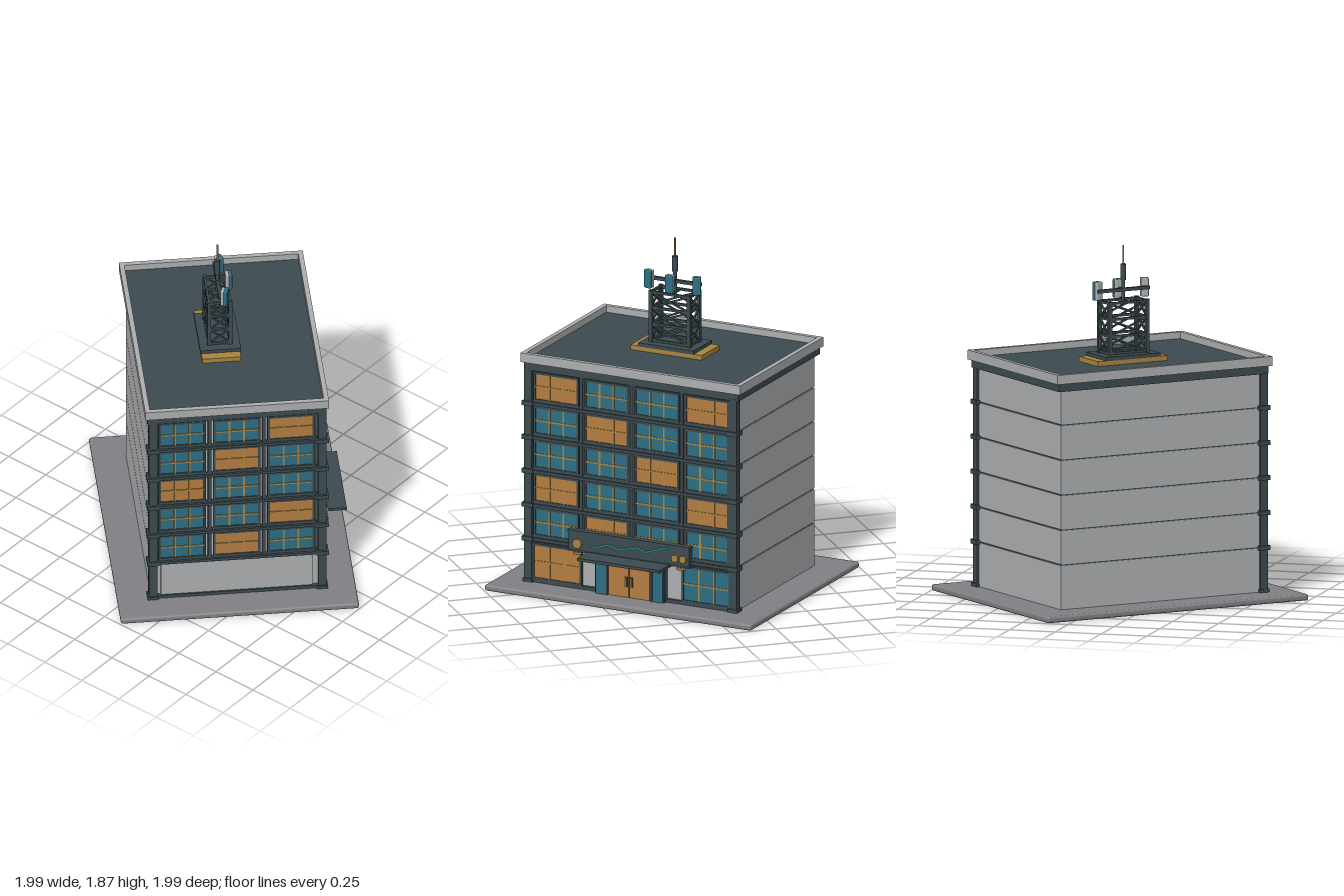
import * as THREE from 'three';
import { RoundedBoxGeometry } from 'three/addons/geometries/RoundedBoxGeometry.js';

const mat = (name, color, side = THREE.FrontSide) => {
  const m = new THREE.MeshStandardMaterial({ color, side });
  m.name = name;
  return m;
};

export function createModel() {
  const M = {
    wall: mat('paleConcrete', 0xacaeb0),
    paving: mat('pavingGrey', 0x808084),
    dark: mat('darkSlate', 0x3c4a4f),
    glass: mat('tealGlass', 0x2c6e84),
    lit: mat('amberGlass', 0xb47c42),
    brass: mat('brass', 0xa8843f),
    green: mat('greenStripe', 0x2fa58c),
  };

  const add = (parent, name, geo, m, x = 0, y = 0, z = 0) => {
    const mesh = new THREE.Mesh(geo, m);
    mesh.name = name;
    mesh.position.set(x, y, z);
    parent.add(mesh);
    return mesh;
  };
  const box = (parent, name, w, h, d, m, x, y, z) =>
    add(parent, name, new THREE.BoxGeometry(w, h, d), m, x, y, z);
  const rod = (parent, name, r, h, m, x, y, z, n = 12) =>
    add(parent, name, new THREE.CylinderGeometry(r, r, h, n), m, x, y, z);
  const beam = (parent, name, a, b, t, m) => {
    const p = new THREE.Vector3(...a), q = new THREE.Vector3(...b);
    const mesh = box(parent, name, t, p.distanceTo(q), t, m, 0, 0, 0);
    mesh.position.copy(p).add(q).multiplyScalar(0.5);
    mesh.quaternion.setFromUnitVectors(new THREE.Vector3(0, 1, 0), q.sub(p).normalize());
    return mesh;
  };
  const section = (parent, name, x = 0, y = 0, z = 0) => {
    const g = new THREE.Group();
    g.name = name;
    g.position.set(x, y, z);
    parent.add(g);
    return g;
  };

  const model = new THREE.Group();
  model.name = 'officeBuilding';
  const b = section(model, 'building');
  b.rotation.y = Math.PI / 4;

  const HW = 0.608, HD = 0.452, PITCH = 0.186;

  // paved base
  add(b, 'pavedBase', new RoundedBoxGeometry(1.57, 0.034, 1.258, 2, 0.012), M.paving, 0, 0.02, 0);

  // plain wall panels, one per storey, over a dark core that shows in the joints
  box(b, 'wallCore', 2 * HW - 0.012, 1.18, 2 * HD - 0.012, M.dark, 0, 0.62, 0);
  const joints = [0.035, 0.275, 0.461, 0.647, 0.833, 1.019, 1.205];
  for (let i = 0; i < 6; i++) {
    const h = joints[i + 1] - joints[i];
    box(b, 'wallPanel', 2 * HW, h - 0.006, 2 * HD, M.wall, 0, joints[i] + h / 2, 0);
  }

  // window with dark frame and brass glazing bars, facing +z
  const makeWindow = (parent, x, y, w, h, pane) => {
    const g = section(parent, 'window', x, y, 0);
    box(g, 'pane', w, h, 0.008, pane, 0, 0, 0.008);
    for (const s of [-1, 1]) {
      box(g, 'frameSide', 0.012, h + 0.02, 0.018, M.dark, s * (w / 2 + 0.004), 0, 0.009);
      box(g, 'frameRail', w + 0.02, 0.012, 0.018, M.dark, 0, s * (h / 2 + 0.004), 0.009);
      box(g, 'glazingBar', 0.009, h, 0.006, M.brass, s * w / 6, 0, 0.013);
    }
    box(g, 'crossBar', w, 0.009, 0.006, M.brass, 0, 0, 0.013);
  };

  // windowed facade, pattern rows run from the top storey down
  const makeFacade = (name, width, pitch, winW, rows) => {
    const g = section(b, name);
    const n = rows[0].length;
    box(g, 'spandrelPlate', width, 0.935, 0.008, M.dark, 0, 0.7425, 0.002);
    for (let c = 1; c < n; c++) {
      const x = (c - n / 2) * pitch;
      box(g, 'reveal', 0.036, 0.93, 0.006, M.wall, x, 0.7425, 0.006);
      box(g, 'pilaster', 0.018, 0.93, 0.018, M.dark, x, 0.7425, 0.01);
    }
    rows.forEach((row, r) => {
      const y = 0.37 + PITCH * (4 - r);
      [...row].forEach((k, c) =>
        makeWindow(g, (c - (n - 1) / 2) * pitch, y, winW, 0.14, k === 'L' ? M.lit : M.glass));
      box(g, 'spandrel', width, 0.036, 0.012, M.dark, 0, y - 0.094, 0.009);
      box(g, 'ledge', width + 0.02, 0.016, 0.024, M.dark, 0, y - 0.096, 0.014);
    });
    box(g, 'plinth', width, 0.02, 0.02, M.dark, 0, 0.045, 0.008);
    return g;
  };

  const front = makeFacade('frontFacade', 2 * HW, 0.296, 0.245, ['LGGL', 'GLGG', 'GGLG', 'LGGL', 'GLGG']);
  front.position.z = HD;
  const side = makeFacade('sideFacade', 2 * HD, 0.287, 0.23, ['GGL', 'GLG', 'LGG', 'GGL', 'GLG']);
  side.position.x = -HW;
  side.rotation.y = -Math.PI / 2;

  // ground floor of both facades
  makeWindow(front, -0.44, 0.152, 0.27, 0.18, M.lit);
  makeWindow(front, 0.44, 0.152, 0.27, 0.18, M.glass);
  box(side, 'blankPanel', 0.8, 0.2, 0.008, M.wall, 0, 0.153, 0.006);

  // corner pillars with blocks at each ledge
  for (const [x, z] of [[-HW, HD], [HW - 0.01, HD], [-HW, -HD + 0.01]]) {
    const g = section(b, 'cornerPillar', x, 0, z);
    box(g, 'shaft', 0.044, 1.18, 0.044, M.dark, 0, 0.62, 0);
    for (let i = 0; i < 5; i++)
      box(g, 'ledgeBlock', 0.064, 0.024, 0.064, M.dark, 0, 0.274 + PITCH * i, 0);
    box(g, 'foot', 0.058, 0.02, 0.058, M.dark, 0, 0.045, 0);
  }

  // cornice, roof and parapet
  box(b, 'cornice', 1.26, 0.045, 0.945, M.dark, 0, 1.222, 0);
  box(b, 'roofDeck', 1.26, 0.012, 0.94, M.dark, 0, 1.25, 0);
  const rect = (P, hw, hd) => {
    const p = new P();
    p.moveTo(-hw, -hd).lineTo(hw, -hd).lineTo(hw, hd).lineTo(-hw, hd).closePath();
    return p;
  };
  const ring = rect(THREE.Shape, 0.646, 0.485);
  ring.holes.push(rect(THREE.Path, 0.62, 0.459));
  const parapet = add(b, 'parapet',
    new THREE.ExtrudeGeometry(ring, { depth: 0.05, bevelEnabled: false }), M.wall, 0, 1.242, 0);
  parapet.rotation.x = -Math.PI / 2;

  // entrance: double door, sidelights, canopy
  const e = section(b, 'entrance', 0, 0, HD);
  box(e, 'porch', 0.41, 0.215, 0.036, M.dark, 0, 0.142, 0.018);
  for (const s of [-1, 1]) {
    box(e, 'doorLeaf', 0.118, 0.185, 0.012, M.lit, s * 0.062, 0.132, 0.038);
    box(e, 'handlePlate', 0.016, 0.055, 0.008, M.dark, s * 0.016, 0.125, 0.046);
    box(e, 'handle', 0.006, 0.045, 0.008, M.brass, s * 0.016, 0.125, 0.052);
    box(e, 'sidelight', 0.062, 0.2, 0.03, M.glass, s * 0.166, 0.137, 0.03);
    box(e, 'sidelightPost', 0.012, 0.205, 0.044, M.dark, s * 0.132, 0.14, 0.026);
  }
  box(e, 'transom', 0.245, 0.016, 0.012, M.glass, 0, 0.236, 0.038);
  box(e, 'canopy', 0.485, 0.016, 0.168, M.dark, 0, 0.25, 0.086);

  // sign board with discs, zigzag stripe and lamps
  const sign = section(e, 'signBoard', 0, 0.31, 0.03);
  box(sign, 'board', 0.71, 0.11, 0.04, M.dark, 0, 0, 0);
  for (const s of [-1, 1]) {
    box(sign, 'boardRail', 0.72, 0.009, 0.046, M.dark, 0, s * 0.053, 0);
    rod(sign, 'lamp', 0.024, 0.014, M.brass, s * 0.305, -0.065, 0.012, 16);
  }
  for (const [x, r] of [[-0.3, 0.026], [0.275, 0.02], [0.322, 0.02]]) {
    const disc = rod(sign, 'disc', r, 0.016, M.brass, x, -0.012, 0.024, 20);
    disc.rotation.x = Math.PI / 2;
  }
  const zig = [[-0.22, -0.026], [-0.12, 0.004], [-0.05, -0.012], [0.05, 0.015], [0.1, -0.004], [0.235, 0.042]];
  for (let i = 1; i < zig.length; i++)
    beam(sign, 'zigzagStripe', [...zig[i - 1], 0.023], [...zig[i], 0.023], 0.009, M.green);

  // roof tower: plinth, lattice, mast and antenna panels
  const t = section(b, 'roofTower', 0, 0, -0.035);
  box(t, 'towerPlinth', 0.42, 0.028, 0.205, M.brass, 0, 1.268, 0);
  box(t, 'towerPlate', 0.325, 0.02, 0.215, M.dark, 0, 1.291, 0);
  const A = 0.112, B = 0.056, levels = [1.31, 1.4, 1.49, 1.575];
  const corners = [[-A, -B], [A, -B], [A, B], [-A, B]];
  corners.forEach(([x, z], i) => {
    const [u, v] = corners[(i + 1) % 4];
    box(t, 'towerLeg', 0.02, 0.29, 0.02, M.dark, x, 1.44, z);
    levels.forEach((y, k) => {
      beam(t, 'towerRail', [x, y, z], [u, y, v], 0.013, M.dark);
      if (k === 3) return;
      beam(t, 'towerBrace', [x, y, z], [u, levels[k + 1], v], 0.009, M.dark);
      beam(t, 'towerBrace', [u, y, v], [x, levels[k + 1], z], 0.009, M.dark);
    });
  });
  box(t, 'mastBeam', 0.016, 0.014, 2 * B, M.dark, 0, 1.575, 0);
  rod(t, 'mast', 0.01, 0.2, M.dark, 0, 1.67, 0);
  rod(t, 'mastSleeve', 0.015, 0.085, M.dark, 0, 1.73, 0);
  rod(t, 'mastTip', 0.005, 0.1, M.brass, 0, 1.822, 0, 8);
  box(t, 'antennaBar', 0.31, 0.018, 0.018, M.dark, 0, 1.635, 0);
  box(t, 'antennaArm', 0.016, 0.016, 0.06, M.dark, 0, 1.635, 0.025);
  for (const [x, z] of [[-0.14, 0.02], [0, 0.055], [0.14, 0.02]]) {
    const g = section(t, 'antennaPanel', x, 1.635, z);
    g.rotation.y = x * 2.5;
    add(g, 'panelBack', new RoundedBoxGeometry(0.042, 0.098, 0.022, 2, 0.006), M.wall, 0, 0, -0.004);
    add(g, 'panelFace', new RoundedBoxGeometry(0.046, 0.1, 0.02, 2, 0.006), M.glass, 0, 0, 0.012);
  }

  return model;
}
